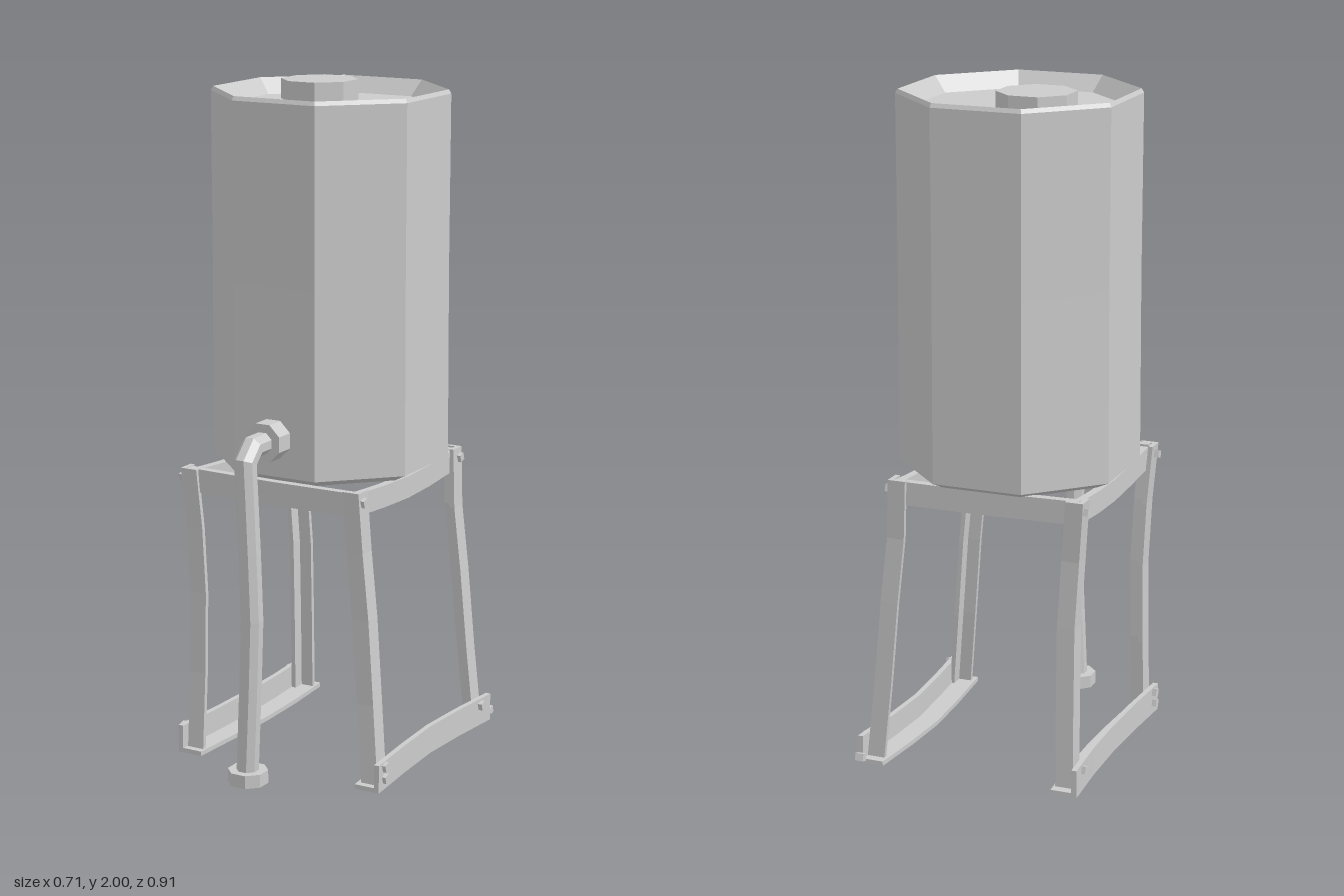
import * as THREE from 'three';

const mat = new THREE.MeshStandardMaterial({ color: 0xcccccc, flatShading: true });
const V = (x, y, z) => new THREE.Vector3(x, y, z);

export function createModel() {
  const model = new THREE.Group();

  function add(name, geometry, x = 0, y = 0, z = 0) {
    const mesh = new THREE.Mesh(geometry, mat);
    mesh.name = name;
    mesh.position.set(x, y, z);
    model.add(mesh);
    return mesh;
  }

  // Skin a list of equal-length vertex rings, with flat end caps
  function loft(rings, section) {
    const n = section.length, last = rings.length - 1, pos = [];
    const tri = (...pts) => pts.forEach(p => pos.push(p.x, p.y, p.z));
    for (let j = 0; j < last; j++) {
      for (let i = 0; i < n; i++) {
        const k = (i + 1) % n;
        tri(rings[j][i], rings[j][k], rings[j + 1][k]);
        tri(rings[j][i], rings[j + 1][k], rings[j + 1][i]);
      }
    }
    for (const [a, b, c] of THREE.ShapeUtils.triangulateShape(section, [])) {
      tri(rings[0][a], rings[0][c], rings[0][b]);
      tri(rings[last][a], rings[last][b], rings[last][c]);
    }
    const g = new THREE.BufferGeometry();
    g.setAttribute('position', new THREE.Float32BufferAttribute(pos, 3));
    g.computeVertexNormals();
    return g;
  }

  // Sweep a section along a path that runs in the positive direction of one axis
  const frames = {
    x: [V(0, 1, 0), V(0, 0, 1)],
    y: [V(0, 0, 1), V(1, 0, 0)],
    z: [V(1, 0, 0), V(0, 1, 0)],
  };
  function sweep(axis, points, path) {
    const section = points.map(([u, v]) => new THREE.Vector2(u, v));
    if (THREE.ShapeUtils.isClockWise(section)) section.reverse();
    const [U, W] = frames[axis];
    return loft(path.map(p => section.map(s =>
      V(...p).addScaledVector(U, s.x).addScaledVector(W, s.y))), section);
  }

  const rect = (w, h) => [[-w / 2, -h / 2], [w / 2, -h / 2], [w / 2, h / 2], [-w / 2, h / 2]];

  const octLathe = pts => new THREE.LatheGeometry(
    pts.map(p => new THREE.Vector2(...p)), 8, Math.PI / 8);

  // Eight-sided tank with a bevelled base, thin rim and sunken top
  add('tank', octLathe([
    [0, 0.87], [0.31, 0.87], [0.355, 0.892], [0.352, 1.45], [0.353, 1.975],
    [0.346, 1.987], [0.304, 1.94], [0, 1.94],
  ]), -0.03, 0, -0.083);
  add('tankLid', octLathe([[0, 1.93], [0.115, 1.93], [0.115, 2], [0, 2]]), -0.118, 0, -0.173);

  // Outlet collar, bent drain pipe and hollow end fitting
  const collar = octLathe([[0, 0], [0.06, 0], [0.06, 0.07], [0, 0.07]]);
  collar.rotateX(Math.PI / 2);
  add('outletCollar', collar, -0.032, 1.005, 0.235);

  const oct = [...Array(8)].map((_, i) => {
    const a = (i + 0.5) * Math.PI / 4;
    return new THREE.Vector2(0.033 * Math.cos(a), 0.033 * Math.sin(a));
  });
  const pipePath = [ // x, y, z, ring tilt in degrees
    [-0.032, 1.005, 0.29, 0], [-0.032, 1.005, 0.362, 22.5], [-0.032, 0.968, 0.4, 67.5],
    [-0.02, 0.7, 0.4, 90], [-0.013, 0.5, 0.4, 90], [-0.02, 0.3, 0.4, 90], [-0.033, 0.01, 0.4, 90],
  ];
  add('drainPipe', loft(pipePath.map(([x, y, z, deg]) => {
    const a = THREE.MathUtils.degToRad(deg);
    const stretch = deg % 90 ? 1 / Math.cos(Math.PI / 8) : 1;
    return oct.map(s => V(x + s.x, y + s.y * stretch * Math.cos(a), z + s.y * stretch * Math.sin(a)));
  }), oct));
  add('pipeEndFitting', octLathe([
    [0, 0.022], [0.045, 0.022], [0.045, 0], [0.06, 0], [0.06, 0.04], [0, 0.04],
  ]), -0.032, 0, 0.398);

  // Bent angle-section legs: x bends per side, z bends per end
  const heights = [0.012, 0.25, 0.5, 0.7, 0.88];
  const legX = { '-1': [-0.297, -0.295, -0.294, -0.304, -0.318], 1: [0.303, 0.28, 0.26, 0.24, 0.23] };
  const legZ = { '-1': [-0.375, -0.368, -0.36, -0.353, -0.362], 1: [0.242, 0.228, 0.222, 0.222, 0.23] };
  const h = 0.027, t = 0.014;
  for (const sx of [-1, 1]) {
    for (const sz of [-1, 1]) {
      const angle = [[h, h], [-h, h], [-h, h - t], [h - t, h - t], [h - t, -h], [h, -h]]
        .map(([z, x]) => [z * sz, x * sx]);
      add('leg', sweep('y', angle, heights.map((y, i) => [legX[sx][i], y, legZ[sz][i]])));
    }
  }

  // Slightly sagging beams under the tank
  for (const z of [-0.363, 0.233]) {
    add('crossBeam', sweep('x', rect(0.07, 0.025),
      [[-0.325, 0.845, z], [-0.04, 0.84, z], [0.245, 0.84, z]]));
  }
  for (const x of [-0.313, 0.233]) {
    add('sideBeam', sweep('z', rect(0.025, 0.066),
      [[x, 0.842, -0.375], [x, 0.828, -0.2], [x, 0.824, -0.07], [x, 0.83, 0.08], [x, 0.842, 0.245]]));
  }

  // Angle-section foot rails, upright flange on the outside
  for (const sx of [-1, 1]) {
    const bow = sx > 0 ? -0.018 : 0.008;
    const x0 = sx > 0 ? 0.34 : -0.338;
    const rail = [[0, 0], [0, 0.085], [-0.016, 0.085], [-0.016, 0.014], [-0.08, 0.014], [-0.08, 0]]
      .map(([x, y]) => [x * sx, y]);
    add('footRail', sweep('z', rail, [
      [x0 + 0.008 * sx, 0, -0.43], [x0 + bow / 2, 0, -0.25], [x0 + bow, 0, -0.08],
      [x0 + bow / 2, 0, 0.1], [x0 + 0.006 * sx, 0, 0.29],
    ]));
  }

  // Bolts, including one that has worked loose at the back
  const bolt = (x, y, z) => {
    add('bolt', new THREE.BoxGeometry(0.026, 0.022, 0.022), x, y, z).rotation.x = 0.3;
  };
  for (const [x, y, z] of [[-0.344, 0.85, 0], [0.257, 0.85, 0]]) {
    bolt(x, y, z + 0.235);
    bolt(x, y, z - 0.37);
  }
  for (const sx of [-1, 1]) {
    bolt(0.342 * sx, 0.035, 0.253);
    bolt(0.342 * sx, 0.07, 0.253);
    bolt(0.342 * sx, 0.065, -0.37);
  }
  bolt(0.333, 0.025, -0.445);

  return model;
}
